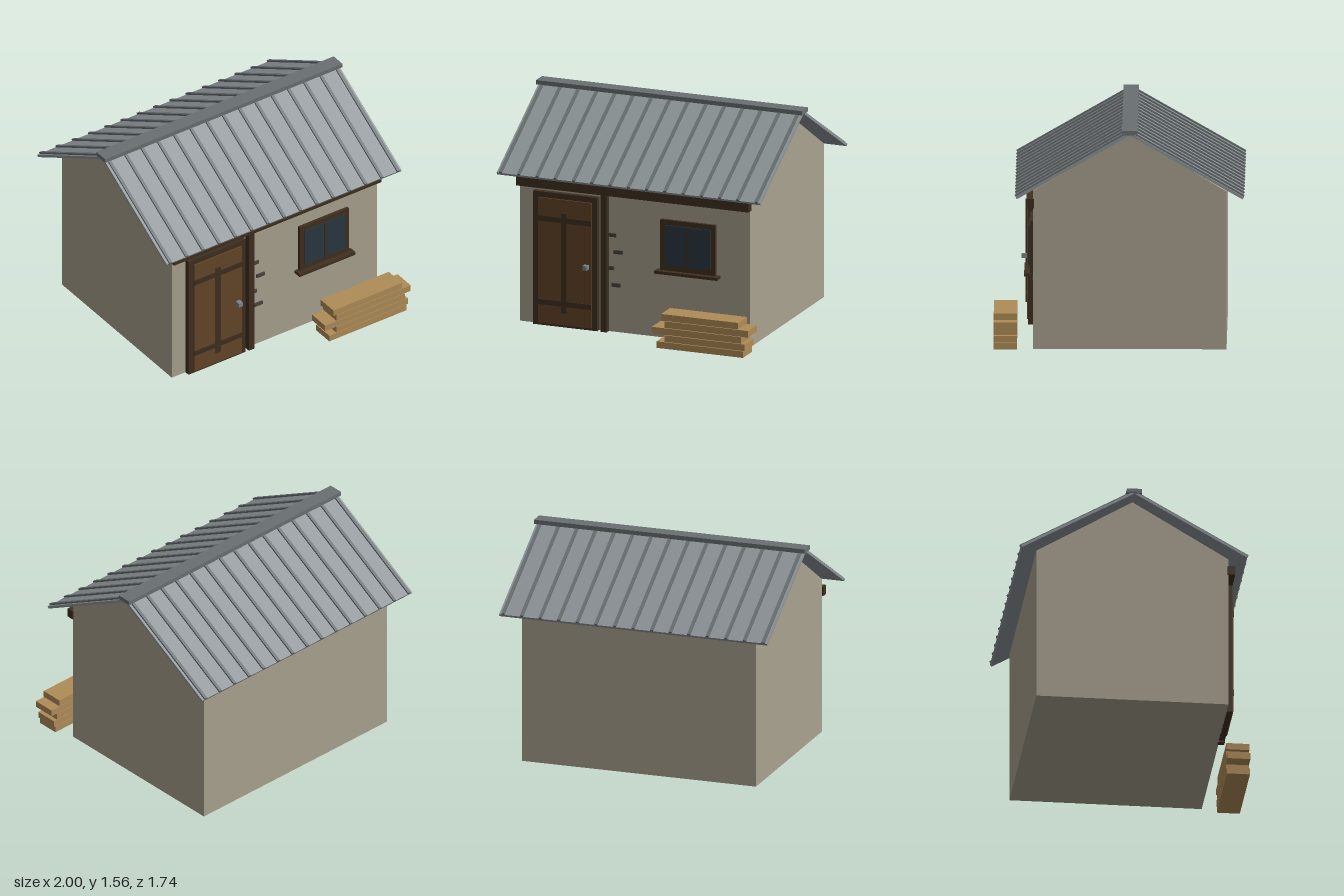
import * as THREE from 'three';

const mat = (color) => new THREE.MeshStandardMaterial({ color, flatShading: true });

export function createModel() {
  const wall = mat(0xa9a28f), sheet = mat(0x8d9497), trim = mat(0x6a7072);
  const darkWood = mat(0x3f2f20), doorWood = mat(0x644529), plankWood = mat(0xb08d58);
  const glass = mat(0x2a3741), stone = mat(0x4a443c), metal = mat(0x808488);

  const group = (name, parent) => {
    const g = new THREE.Group();
    g.name = name;
    parent.add(g);
    return g;
  };
  // Box given by its extents on each axis
  const box = (parent, name, material, [x0, x1], [y0, y1], [z0, z1]) => {
    const m = new THREE.Mesh(new THREE.BoxGeometry(x1 - x0, y1 - y0, z1 - z0), material);
    m.position.set((x0 + x1) / 2, (y0 + y1) / 2, (z0 + z1) / 2);
    m.name = name;
    parent.add(m);
    return m;
  };

  const model = new THREE.Group();
  model.name = 'shed';
  const midZ = -0.07, front = 0.602;

  // Walls: gabled outline extruded along the width
  const gable = new THREE.Shape([[-0.672, 0], [0.672, 0], [0.672, 1.11], [0, 1.515], [-0.672, 1.11]]
    .map(([x, y]) => new THREE.Vector2(x, y)));
  const body = new THREE.Mesh(new THREE.ExtrudeGeometry(gable, { depth: 1.73, bevelEnabled: false }), wall);
  body.name = 'walls';
  body.rotation.y = -Math.PI / 2;
  body.position.set(0.865, 0, midZ);
  model.add(body);

  // Roof: two sloping ribbed sheets and a ridge cap
  const roof = group('roof', model);
  roof.position.z = midZ;
  for (const side of [0, 1]) {
    const half = group(side ? 'backSlope' : 'frontSlope', roof);
    half.rotation.y = side * Math.PI;
    const slope = group('slope', half);
    slope.position.y = 1.523;
    slope.rotation.x = Math.atan(0.572);
    box(slope, 'roofSheet', sheet, [-0.99, 0.99], [0, 0.018], [0, 0.903]);
    for (let i = -7; i <= 7; i++) {
      const x = i * 0.1372;
      box(slope, 'roofRib', trim, [x - 0.011, x + 0.011], [0.016, 0.03], [0.04, 0.903]);
    }
  }
  box(roof, 'ridgeCap', trim, [-1, 1], [1.526, 1.557], [-0.053, 0.053]);

  // Timber beam and post
  box(model, 'beam', darkWood, [-0.877, 0.873], [0.99, 1.056], [0.595, 0.647]);
  box(model, 'post', darkWood, [-0.243, -0.196], [0, 1.11], [0.595, 0.643]);

  // Door
  const door = group('door', model);
  box(door, 'doorFrame', darkWood, [-0.75, -0.268], [0, 0.965], [0.595, 0.64]);
  box(door, 'doorPanel', doorWood, [-0.708, -0.307], [0.018, 0.925], [0.6, 0.651]);
  box(door, 'lowerBatten', darkWood, [-0.708, -0.307], [0.153, 0.191], [0.63, 0.657]);
  box(door, 'upperBatten', darkWood, [-0.708, -0.307], [0.757, 0.796], [0.63, 0.657]);
  box(door, 'middleBatten', darkWood, [-0.532, -0.491], [0.108, 0.83], [0.63, 0.662]);
  box(door, 'doorHandle', metal, [-0.359, -0.326], [0.444, 0.476], [0.64, 0.69]);

  // Window
  const win = group('window', model);
  box(win, 'windowFrame', darkWood, [0.2, 0.613], [0.494, 0.86], [0.595, 0.626]);
  box(win, 'windowGlass', glass, [0.238, 0.576], [0.535, 0.824], [0.6, 0.634]);
  box(win, 'windowMullion', darkWood, [0.4, 0.417], [0.53, 0.824], [0.6, 0.64]);
  box(win, 'windowSill', darkWood, [0.17, 0.642], [0.474, 0.495], [0.595, 0.665]);

  // Exposed stones beside the post
  for (const [x, y] of [[-0.17, 0.7], [-0.122, 0.58], [-0.188, 0.46], [-0.139, 0.34]])
    box(model, 'exposedStone', stone, [x - 0.033, x + 0.033], [y - 0.013, y + 0.013], [front - 0.01, 0.614]);

  // Stack of planks, from the ground up
  const stack = group('plankStack', model);
  [[0.275, 0.925], [0.335, 0.938], [0.24, 0.912], [0.335, 0.962], [0.31, 0.888]].forEach((span, i) => {
    const y = 0.006 + i * 0.0505;
    box(stack, 'plank', plankWood, span, [y, y + 0.047], [0.714, 0.875]);
  });

  return model;
}
